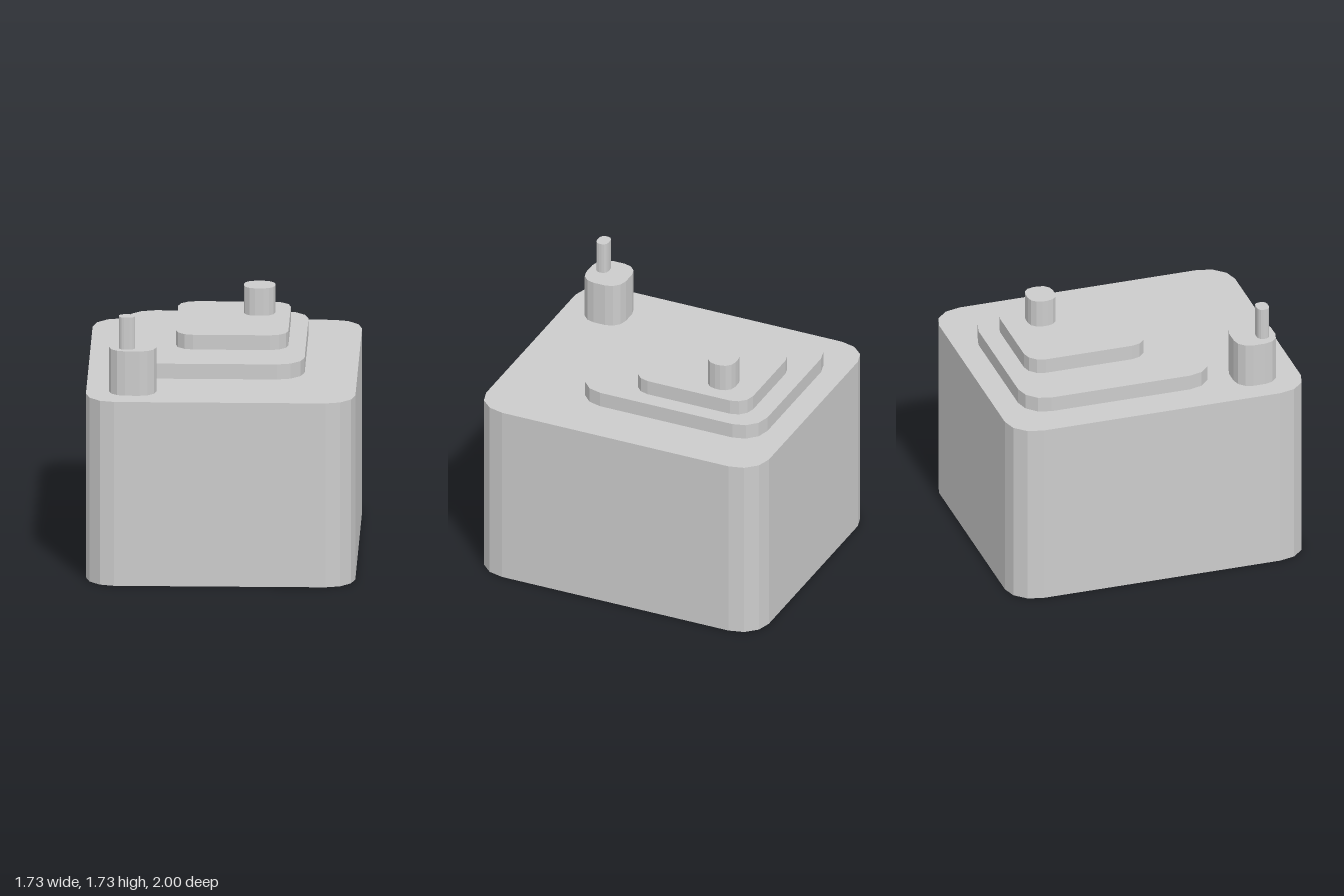
import * as THREE from 'three';

const material = new THREE.MeshStandardMaterial({ color: 0xcccccc, flatShading: true });

// Upright block with faceted rounded corners (three facets per corner)
function roundedBlock(name, [x0, x1], [z0, z1], [y0, y1], rx, rz) {
  const corners = [
    [x1 - rx, -z0 - rz],
    [x0 + rx, -z0 - rz],
    [x0 + rx, -z1 + rz],
    [x1 - rx, -z1 + rz],
  ];
  const points = [];
  corners.forEach(([cx, cy], q) => {
    for (let i = 0; i <= 3; i++) {
      const a = (q + i / 3) * Math.PI / 2;
      points.push(new THREE.Vector2(cx + rx * Math.cos(a), cy + rz * Math.sin(a)));
    }
  });
  const geometry = new THREE.ExtrudeGeometry(new THREE.Shape(points), {
    depth: y1 - y0,
    bevelEnabled: false,
  });
  geometry.rotateX(-Math.PI / 2);
  geometry.translate(0, y0, 0);
  const mesh = new THREE.Mesh(geometry, material);
  mesh.name = name;
  return mesh;
}

export function createModel() {
  const model = new THREE.Group();
  model.name = 'steppedBlock';
  model.add(
    // Main body
    roundedBlock('body', [-0.865, 0.865], [-1, 1], [0, 1.225], 0.187, 0.2),
    // Stacked tiers and the small block on top of them
    roundedBlock('lowerTier', [-0.635, 0.525], [-0.84, 0.435], [1.225, 1.325], 0.172, 0.17),
    roundedBlock('upperTier', [-0.31, 0.413], [-0.713, 0.092], [1.325, 1.423], 0.115, 0.112),
    roundedBlock('topKnob', [0.115, 0.317], [-0.56, -0.375], [1.423, 1.605], 0.075, 0.075),
    // Corner post with its thin pin
    roundedBlock('cornerPost', [-0.717, -0.415], [0.567, 0.848], [1.225, 1.52], 0.105, 0.1),
    roundedBlock('postPin', [-0.655, -0.55], [0.722, 0.803], [1.52, 1.733], 0.035, 0.033),
  );
  return model;
}
